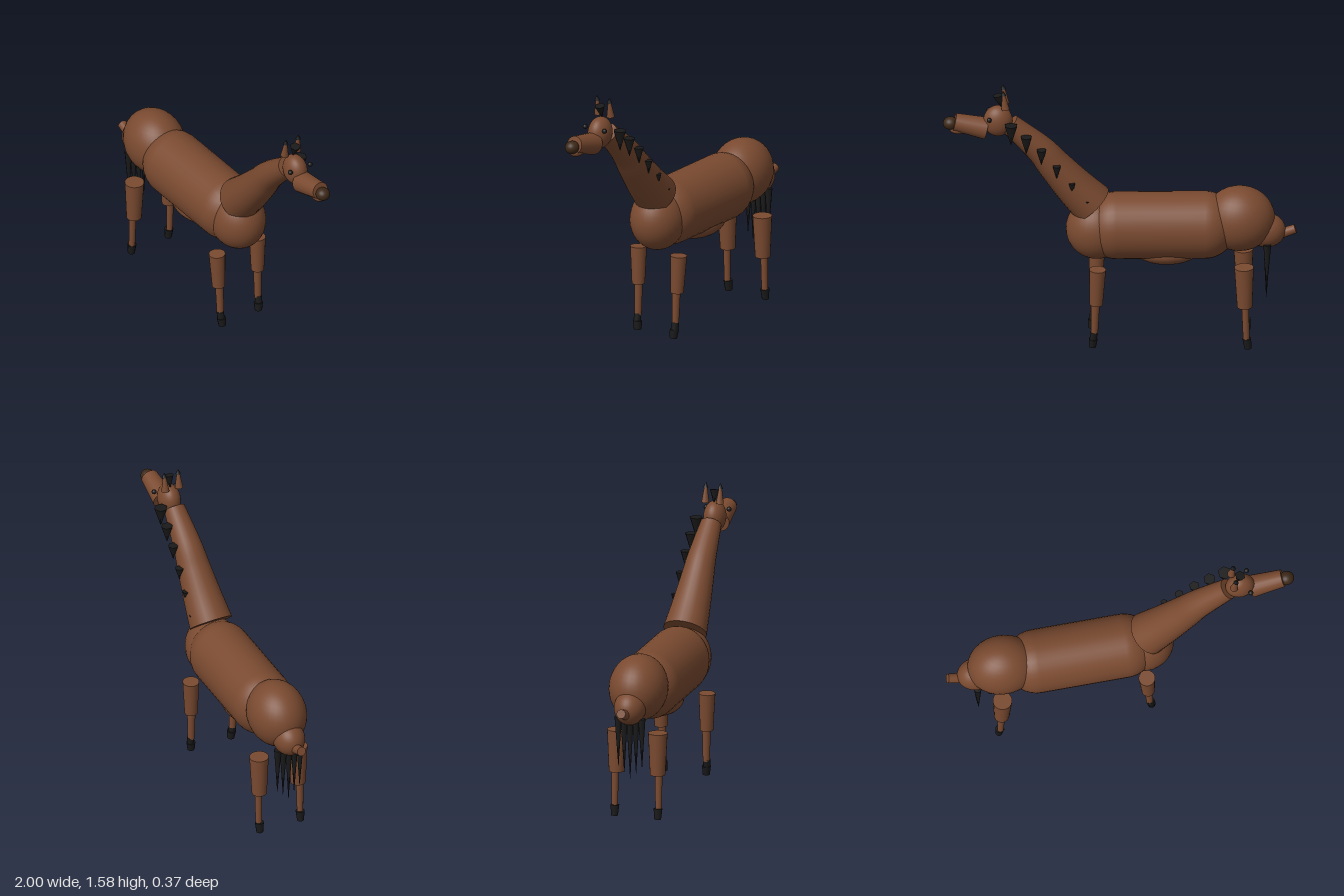
import * as THREE from 'three';

const V = (x, y, z = 0) => new THREE.Vector3(x, y, z);
const mat = (color) => new THREE.MeshStandardMaterial({ color, side: THREE.DoubleSide });

export function createModel() {
  const model = new THREE.Group();
  model.name = 'giraffe';
  const brown = mat(0x7a4a30), dark = mat(0x3d2817), black = mat(0x1a1a1a);

  const add = (parent, name, geometry, material) => {
    const mesh = new THREE.Mesh(geometry, material);
    mesh.name = name;
    parent.add(mesh);
    return mesh;
  };
  const ball = (name, c, r, material = brown) => {
    const mesh = add(model, name, new THREE.SphereGeometry(1, 32, 20), material);
    mesh.position.copy(c);
    mesh.scale.copy(r);
    return mesh;
  };
  // Tapered cylinder running from a (radius ra) to b (radius rb)
  const limb = (parent, name, a, b, ra, rb, material = brown, sides = 20) => {
    const dir = b.clone().sub(a);
    const mesh = add(parent, name, new THREE.CylinderGeometry(rb, ra, dir.length(), sides), material);
    mesh.position.copy(a).add(b).multiplyScalar(0.5);
    mesh.quaternion.setFromUnitVectors(V(0, 1), dir.normalize());
    return mesh;
  };

  // Torso
  const barrel = add(model, 'body', new THREE.CapsuleGeometry(0.18, 0.5, 12, 32), brown);
  barrel.rotation.z = Math.PI / 2;
  barrel.scale.x = 1.08;
  barrel.position.set(-0.23, 0.715, 0);
  ball('hips', V(-0.675, 0.755), V(0.2, 0.19, 0.165));
  ball('chest', V(0.13, 0.7), V(0.175, 0.18, 0.155));
  ball('belly', V(-0.265, 0.56), V(0.185, 0.075, 0.12));
  ball('rump', V(-0.825, 0.68), V(0.11, 0.1, 0.09));

  // Tail stub and hanging hair
  limb(model, 'tail', V(-0.99, 0.687), V(-0.89, 0.652), 0.026, 0.03);
  for (let i = -2; i <= 2; i++) {
    const tip = 0.26 + 0.035 * Math.abs(i);
    limb(model, 'tailHair', V(-0.825, tip, i * 0.035), V(-0.83, 0.62, i * 0.035), 0.001, 0.022, black, 8);
  }

  // Neck: a tube whose radius narrows toward the head
  const path = new THREE.CatmullRomCurve3([
    V(0.155, 0.85), V(0.253, 0.955), V(0.367, 1.09), V(0.443, 1.185), V(0.62, 1.35),
  ]);
  const rings = 24, sides = 24;
  const tube = new THREE.TubeGeometry(path, rings, 1, sides);
  const pos = tube.attributes.position;
  const p = V(0, 0);
  for (let i = 0; i < pos.count; i++) {
    const t = Math.floor(i / (sides + 1)) / rings;
    const c = path.getPointAt(t);
    p.fromBufferAttribute(pos, i).sub(c).multiplyScalar(0.125 - 0.065 * t).add(c);
    pos.setXYZ(i, p.x, p.y, p.z);
  }
  add(model, 'neck', tube, brown);
  for (const t of [0, 1]) {
    const cap = add(model, 'neckCap', new THREE.CircleGeometry(0.125 - 0.065 * t, sides), brown);
    cap.position.copy(path.getPointAt(t));
    cap.quaternion.setFromUnitVectors(V(0, 0, 1), path.getTangentAt(t).multiplyScalar(t ? 1 : -1));
  }

  // Head
  ball('head', V(0.687, 1.372), V(0.083, 0.092, 0.063));
  limb(model, 'muzzle', V(0.752, 1.324), V(0.932, 1.366), 0.064, 0.05);
  ball('nose', V(0.955, 1.358), V(0.042, 0.037, 0.04), dark);
  ball('lowerLip', V(0.91, 1.32), V(0.05, 0.026, 0.036));
  for (const s of [1, -1]) {
    ball('eye', V(0.737, 1.406, s * 0.068), V(0.014, 0.014, 0.014), black);
    limb(model, 'horn', V(0.645, 1.462, s * 0.043), V(0.656, 1.55, s * 0.043), 0.023, 0.009, brown, 12);
    limb(model, 'hornTip', V(0.656, 1.548, s * 0.043), V(0.66, 1.577, s * 0.043), 0.015, 0.001, black, 8);
  }
  limb(model, 'forelock', V(0.668, 1.455), V(0.688, 1.53), 0.001, 0.03, black, 6);

  // Mane: cones pointing down the side of the neck, shrinking toward the body
  const maneTops = [1.38, 1.31, 1.23, 1.13, 1.025, 0.915];
  maneTops.forEach((top, i) => {
    const x = 0.615 - i * 0.086, z = -0.087 - i * 0.0035;
    limb(model, 'maneTuft', V(x, top - 0.12 + i * 0.014, z), V(x, top, z), 0.001, 0.039 - i * 0.0045, black, 6);
  });

  // Legs, mirrored left and right
  for (const s of [1, -1]) {
    const front = new THREE.Group();
    front.name = 'frontLeg';
    limb(front, 'upperLeg', V(0.135, 0.286, s * 0.135), V(0.127, 0.505, s * 0.14), 0.037, 0.047);
    limb(front, 'lowerLeg', V(0.145, 0.1, s * 0.13), V(0.138, 0.3, s * 0.132), 0.02, 0.024);
    limb(front, 'pastern', V(0.155, 0.05, s * 0.13), V(0.146, 0.11, s * 0.132), 0.02, 0.021, black);
    limb(front, 'hoof', V(0.157, 0.018, s * 0.125), V(0.152, 0.068, s * 0.128), 0.021, 0.026, black, 10);

    const hind = new THREE.Group();
    hind.name = 'hindLeg';
    limb(hind, 'upperLeg', V(-0.702, 0.26, s * 0.122), V(-0.698, 0.505, s * 0.122), 0.043, 0.055);
    limb(hind, 'lowerLeg', V(-0.711, 0.055, s * 0.13), V(-0.705, 0.27, s * 0.13), 0.018, 0.021);
    limb(hind, 'hoof', V(-0.72, 0.003, s * 0.128), V(-0.714, 0.065, s * 0.128), 0.02, 0.026, black, 10);
    model.add(front, hind);
  }
  return model;
}
